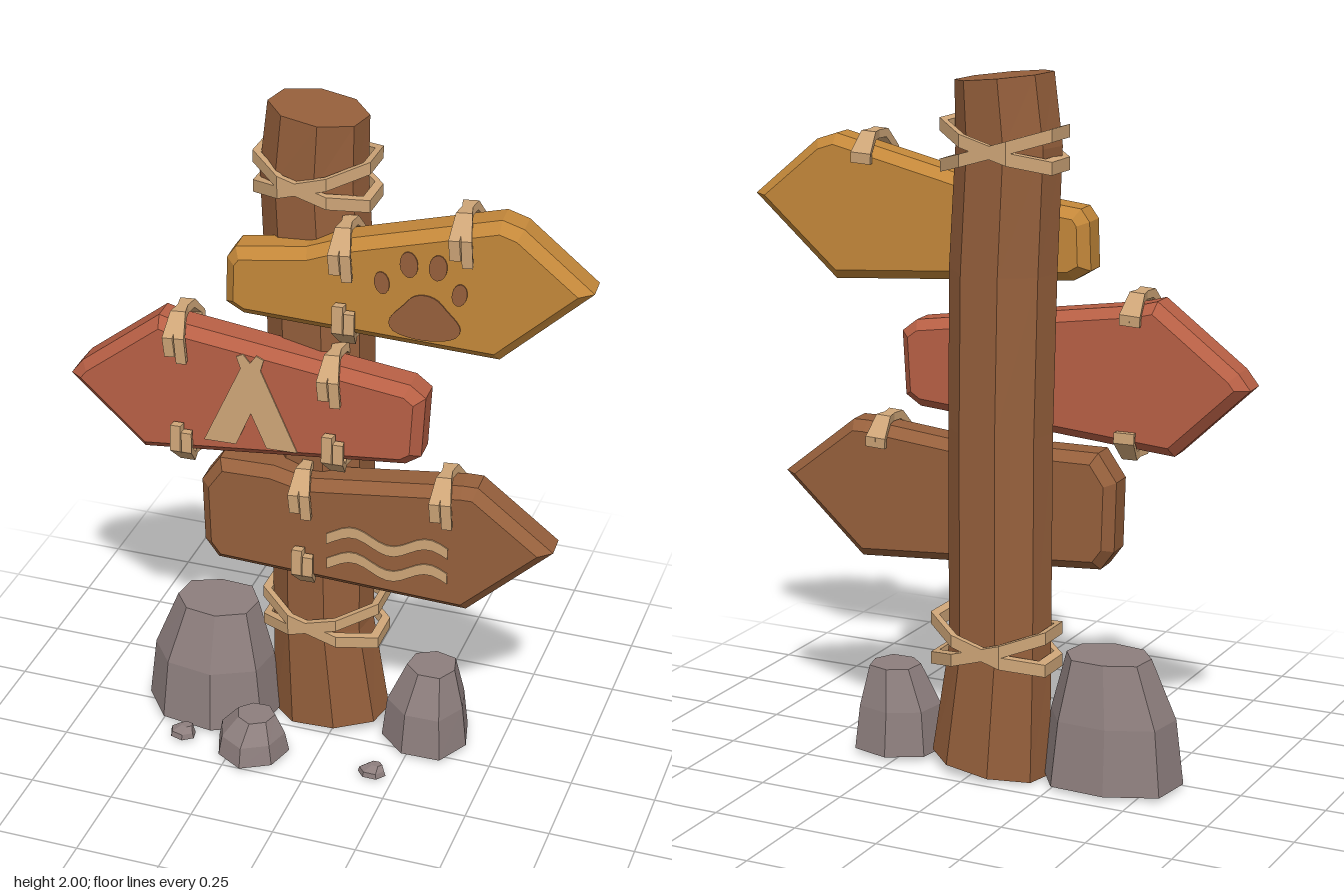
import * as THREE from 'three';

const mat = (name, color) => {
  const m = new THREE.MeshStandardMaterial({ color });
  m.name = name;
  return m;
};

const HALF = 0.066; // half thickness of a board

function add(parent, name, geometry, material) {
  const mesh = new THREE.Mesh(geometry, material);
  mesh.name = name;
  parent.add(mesh);
  return mesh;
}

const shapeOf = (pts) => new THREE.Shape(pts.map(([x, y]) => new THREE.Vector2(x, y)));

// Faceted solid through rings of [y, cx, cz, rx, rz, tilt], capped at both ends
function loft(rings, sides, phase, wobble = () => 1) {
  const ring = rings.map(([y, cx, cz, rx, rz, tilt = 0]) =>
    Array.from({ length: sides }, (_, i) => {
      const a = phase + (i / sides) * Math.PI * 2;
      const dx = Math.sin(a) * rx * wobble(i);
      return [cx + dx, y + tilt * dx, cz + Math.cos(a) * rz * wobble(i)];
    }));
  const pos = [];
  const tri = (...corners) => corners.forEach((c) => pos.push(...c));
  const last = rings.length - 1;
  const mid = ([y, cx, cz]) => [cx, y, cz];
  for (let i = 0; i < sides; i++) {
    const j = (i + 1) % sides;
    for (let k = 0; k < last; k++) {
      tri(ring[k][i], ring[k][j], ring[k + 1][j]);
      tri(ring[k][i], ring[k + 1][j], ring[k + 1][i]);
    }
    tri(mid(rings[0]), ring[0][j], ring[0][i]);
    tri(mid(rings[last]), ring[last][i], ring[last][j]);
  }
  const g = new THREE.BufferGeometry();
  g.setAttribute('position', new THREE.Float32BufferAttribute(pos, 3));
  g.computeVertexNormals();
  return g;
}

// Move vertices by a slope: target axis += k * source axis
function shear(g, target, source, k) {
  const p = g.attributes.position;
  for (let i = 0; i < p.count; i++) {
    p.setComponent(i, target, p.getComponent(i, target) + k * p.getComponent(i, source));
  }
  g.computeVertexNormals();
  return g;
}

// Flat rope band around the post, leaning sideways
function band(rx, rz, lean) {
  const w = 0.018, t = 0.13;
  const profile = [[1 - t, -w], [1, -w], [1, w], [1 - t, w], [1 - t, -w]]
    .map(([x, y]) => new THREE.Vector2(x, y));
  const g = new THREE.LatheGeometry(profile, 8, Math.PI / 8).toNonIndexed();
  g.scale(rx, 1, rz);
  return shear(g, 1, 0, lean);
}

// Rope strap hooked over the edge of a board
function strap(lean, drop) {
  const f = HALF;
  const g = new THREE.ExtrudeGeometry(shapeOf([
    [f + 0.03, -drop], [f + 0.034, -0.02], [0.042, 0.036], [-0.042, 0.036],
    [-f - 0.024, -0.02], [-f - 0.022, -0.05], [-f - 0.004, -0.05], [-f - 0.004, -0.02],
    [-0.035, 0.012], [0.035, 0.012], [f + 0.01, -0.025], [f + 0.006, -drop],
  ]), { depth: 0.03, bevelEnabled: false });
  g.translate(0, 0, -0.015);
  g.rotateY(-Math.PI / 2);
  return shear(g, 0, 2, lean);
}

function board(parent, name, material, outline, z, turn, ties, rope) {
  const group = new THREE.Group();
  group.name = name;
  group.position.z = z;
  group.rotation.y = turn;
  parent.add(group);
  const g = new THREE.ExtrudeGeometry(shapeOf(outline), {
    depth: 2 * HALF - 0.06, bevelThickness: 0.03, bevelSize: 0.028, bevelOffset: -0.028, bevelSegments: 1,
  });
  g.translate(0, 0, 0.03 - HALF);
  add(group, name + 'Plank', g, material);
  // Crossed pair of straps at each tie point
  for (const [x, y, dir] of ties) {
    [[0.17, 0.1], [-0.17, 0.08]].forEach(([lean, drop]) => {
      const s = add(group, 'ropeTie', strap(lean, drop), rope);
      s.position.set(x, y, 0);
      if (dir < 0) s.rotation.z = Math.PI;
      else s.rotation.z = 0.06;
    });
  }
  return group;
}

// Thin painted plate on a board's front
function paint(group, name, shape, material) {
  const g = new THREE.ExtrudeGeometry(shape, { depth: 0.005, bevelEnabled: false, curveSegments: 8 });
  add(group, name, g, material).position.z = HALF - 0.001;
}

export function createModel() {
  const model = new THREE.Group();
  model.name = 'signpost';
  const wood = mat('brown wood', 0x96603c);
  const yellow = mat('ochre wood', 0xc4883a);
  const red = mat('red wood', 0xb86045);
  const rope = mat('tan rope', 0xcfa678);
  const stone = mat('grey stone', 0x8e7f7e);

  // Slightly crooked post with slanted ends
  add(model, 'post', loft([
    [0.02, -0.03, -0.115, 0.178, 0.122, 0.115],
    [0.36, -0.055, -0.11, 0.152, 0.115],
    [1.0, -0.055, -0.105, 0.152, 0.118],
    [1.45, -0.06, -0.1, 0.156, 0.118],
    [1.8, -0.078, -0.1, 0.152, 0.118],
    [1.985, -0.065, -0.102, 0.14, 0.12, -0.11],
  ], 8, 0.25), wood);

  // Crossed rope bands at the top and bottom of the post
  for (const [x, y, rx, lean] of [[-0.07, 1.795, 0.182, 0.3], [-0.045, 0.385, 0.194, 0.3]]) {
    for (const side of [-1, 1]) {
      add(model, 'ropeBand', band(rx, 0.15, side * lean), rope).position.set(x, y + side * 0.006, -0.11);
    }
  }

  // Upper board with a paw print
  const upper = board(model, 'upperBoard', yellow, [
    [-0.28, 1.45], [-0.23, 1.42], [0.49, 1.375], [0.74, 1.605], [0.545, 1.77],
    [0.485, 1.79], [0.03, 1.675], [-0.05, 1.645], [-0.25, 1.62], [-0.275, 1.585],
  ], 0.012, 0.066, [[0.055, 1.68, 1], [0.385, 1.765, 1], [0.068, 1.405, -1]], rope);
  const pad = new THREE.Shape();
  pad.moveTo(0.2, 1.44);
  pad.bezierCurveTo(0.24, 1.415, 0.34, 1.415, 0.375, 1.44);
  pad.bezierCurveTo(0.41, 1.475, 0.36, 1.5, 0.335, 1.535);
  pad.bezierCurveTo(0.31, 1.565, 0.26, 1.565, 0.24, 1.535);
  pad.bezierCurveTo(0.215, 1.5, 0.165, 1.475, 0.2, 1.44);
  paint(upper, 'pawPad', pad, wood);
  for (const [x, y, rx, ry, a] of [
    [0.168, 1.58, 0.021, 0.033, 0.15], [0.242, 1.643, 0.025, 0.038, 0.08],
    [0.322, 1.643, 0.025, 0.038, -0.08], [0.382, 1.57, 0.021, 0.033, -0.15],
  ]) {
    const toe = new THREE.Shape();
    toe.absellipse(x, y, rx, ry, 0, Math.PI * 2, false, a);
    paint(upper, 'pawToe', toe, wood);
  }

  // Middle board with a tent
  const middle = board(model, 'middleBoard', red, [
    [-0.745, 1.155], [-0.53, 0.95], [0.24, 1.02], [0.285, 1.05], [0.295, 1.235],
    [0.25, 1.27], [-0.42, 1.365], [-0.475, 1.38], [-0.71, 1.2],
  ], 0.024, 0.04, [[-0.415, 1.365, 1], [-0.4, 0.965, -1], [0.03, 1.295, 1], [0.045, 1.0, -1]], rope);
  paint(middle, 'tent', shapeOf([
    [-0.34, 1.02], [-0.245, 1.02], [-0.2, 1.125], [-0.155, 1.02], [-0.065, 1.02], [-0.17, 1.265],
    [-0.16, 1.3], [-0.182, 1.31], [-0.2, 1.285], [-0.22, 1.31], [-0.24, 1.3], [-0.228, 1.265],
  ]), rope);

  // Lower board with two waves
  const lower = board(model, 'lowerBoard', wood, [
    [-0.36, 0.66], [-0.32, 0.605], [0.42, 0.56], [0.665, 0.79], [0.445, 0.965],
    [0.4, 0.965], [-0.05, 0.915], [-0.15, 0.94], [-0.31, 0.94], [-0.365, 0.86],
  ], 0.01, 0.045, [[-0.06, 0.91, 1], [0.35, 0.95, 1], [-0.05, 0.605, -1]], rope);
  for (const y of [0.755, 0.672]) {
    const edge = (off) => Array.from({ length: 17 }, (_, i) => {
      const t = i / 16;
      return [0.015 + t * 0.355, y + off + 0.021 * Math.sin(t * Math.PI * 3.2 - 0.6)];
    });
    paint(lower, 'wave', shapeOf([...edge(-0.017), ...edge(0.017).reverse()]), rope);
  }

  // Rocks: centre x, z, half width, half depth, height, sides, base, top size
  [
    [-0.38, -0.05, 0.215, 0.172, 0.375, 8, 0.012, 0.6],
    [0.283, -0.078, 0.135, 0.13, 0.262, 7, 0.012, 0.56],
    [-0.19, 0.155, 0.112, 0.107, 0.132, 7, 0.012, 0.52],
    [-0.41, 0.157, 0.042, 0.032, 0.042, 6, 0.01, 0.45],
    [0.185, 0.157, 0.042, 0.03, 0.04, 6, 0.01, 0.45],
  ].forEach(([x, z, rx, rz, h, sides, base, top], n) => {
    const wobble = (i) => 0.99 + 0.05 * Math.sin(i * 2.7 + n * 1.9);
    add(model, n < 3 ? 'rock' : 'pebble', loft([
      [base, x, z, rx, rz],
      [base + (h - base) * 0.52, x, z, rx * 0.89, rz * 0.88],
      [h, x + 0.01, z - 0.01, rx * top, rz * top],
    ], sides, 0.2 + n * 0.35, wobble), stone);
  });

  return model;
}
